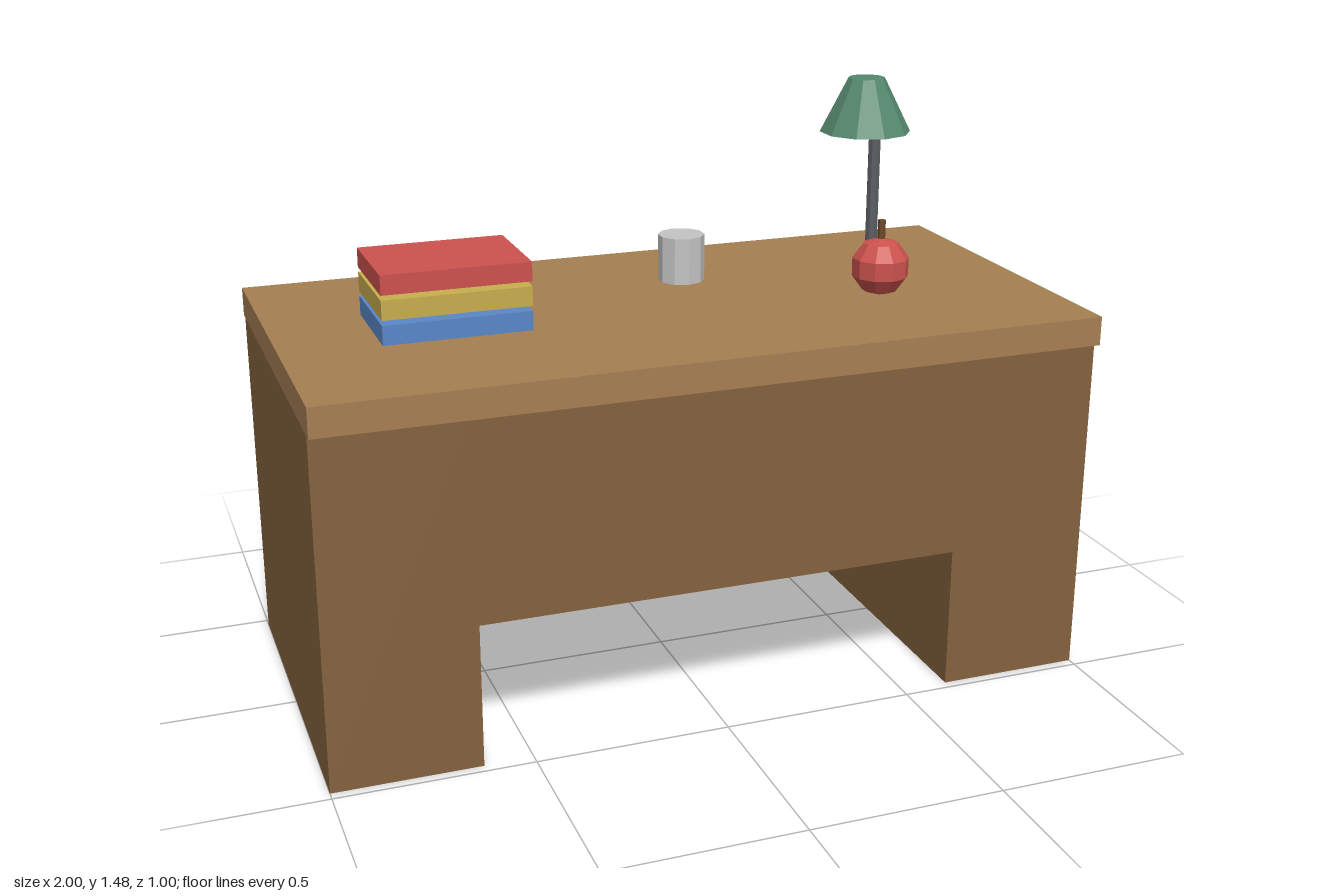
import * as THREE from 'three';

const mat = (name, color) => {
  const m = new THREE.MeshStandardMaterial({ color, flatShading: true });
  m.name = name;
  return m;
};

export function createModel() {
  const topWood = mat('lightWood', 0xa67f53);
  const bodyWood = mat('darkWood', 0x85623f);
  const red = mat('red', 0xcc524d);
  const yellow = mat('yellow', 0xc8ae4e);
  const blue = mat('blue', 0x5a88c8);
  const grey = mat('lightGrey', 0xc4c4c4);
  const green = mat('green', 0x56896f);
  const metal = mat('darkMetal', 0x5c5e64);
  const stemWood = mat('stemBrown', 0x6e4a2c);

  const model = new THREE.Group();
  model.name = 'desk';

  const add = (name, geometry, material, x, y, z) => {
    const mesh = new THREE.Mesh(geometry, material);
    mesh.name = name;
    mesh.position.set(x, y, z);
    model.add(mesh);
    return mesh;
  };
  const box = (name, m, w, h, d, x, bottom, z) =>
    add(name, new THREE.BoxGeometry(w, h, d), m, x, bottom + h / 2, z);
  const cylinder = (name, m, rTop, rBottom, h, sides, x, bottom, z) =>
    add(name, new THREE.CylinderGeometry(rTop, rBottom, h, sides), m, x, bottom + h / 2, z);

  const deskY = 0.975;

  // Desk: top, two pedestals and the front panel between them
  box('deskTop', topWood, 2, 0.075, 1, 0, 0.9, 0);
  for (const [name, side] of [['leftPedestal', 1], ['rightPedestal', -1]]) {
    box(name, bodyWood, 0.375, 0.9, 0.95, side * 0.8125, 0, 0);
  }
  box('frontPanel', bodyWood, 1.25, 0.525, 0.0375, 0, 0.375, 0.456);

  // Stack of books with small gaps
  [['lowerBook', blue], ['middleBook', yellow], ['upperBook', red]].forEach(([name, m], i) => {
    box(name, m, 0.375, 0.05, 0.275, -0.565, deskY + i * 0.0625, -0.0125);
  });

  // Cup
  cylinder('cup', grey, 0.0625, 0.0625, 0.125, 10, 0.125, deskY, -0.1875);

  // Apple
  const apple = add('apple', new THREE.SphereGeometry(0.0775, 10, 5), red, 0.5625, 1.0515, 0.125);
  apple.rotation.y = Math.PI / 2;
  cylinder('appleStem', stemWood, 0.01, 0.01, 0.06, 6, 0.5625, 1.115, 0.125);

  // Lamp: the post pokes slightly through the shade
  cylinder('lampPost', metal, 0.0175, 0.0175, 0.435, 8, 0.75, deskY, -0.3125);
  cylinder('lampShade', green, 0.05, 0.125, 0.148, 10, 0.6875, 1.328, -0.25);

  return model;
}
